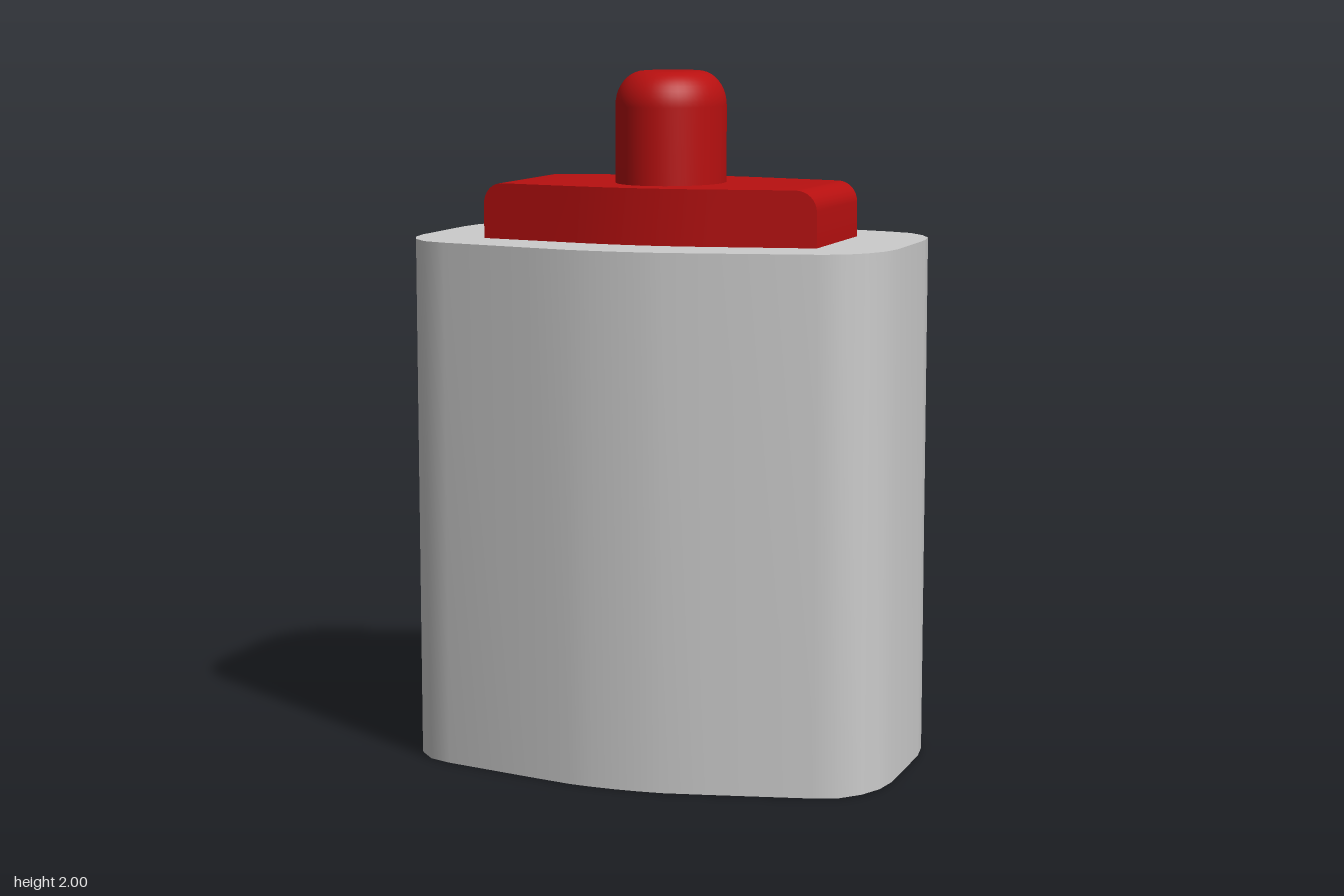
import * as THREE from 'three';
import { toCreasedNormals } from 'three/addons/utils/BufferGeometryUtils.js';

const BODY_TOP = 1.52, PLATE_TOP = 1.68, TOP = 2;

export function createModel() {
  const group = new THREE.Group();
  const grey = new THREE.MeshStandardMaterial({ color: 0xcccccc });
  const red = new THREE.MeshStandardMaterial({ color: 0xb81010 });
  const add = (name, geometry, material) => {
    const mesh = new THREE.Mesh(geometry, material);
    mesh.name = name;
    group.add(mesh);
  };

  // Body: bowed rounded outline [x, z], mirrored left to right, extruded upward
  const right = [
    [0, -0.493], [0.07, -0.491], [0.14, -0.483], [0.27, -0.455], [0.55, -0.385],
    [0.62, -0.357], [0.672, -0.295], [0.705, -0.225], [0.718, -0.135],
    [0.718, 0.16], [0.705, 0.24], [0.672, 0.31], [0.62, 0.367], [0.55, 0.393],
    [0.27, 0.455], [0.14, 0.482], [0.07, 0.488], [0, 0.49],
  ];
  const left = right.slice(1, -1).reverse().map(([x, z]) => [-x, z]);
  const outline = new THREE.Shape([...right, ...left].map(([x, z]) => new THREE.Vector2(x, z)));
  const body = new THREE.ExtrudeGeometry(outline, { depth: BODY_TOP, bevelEnabled: false });
  body.rotateX(Math.PI / 2).translate(0, BODY_TOP, 0);
  add('body', toCreasedNormals(body, 0.75), grey);

  // Plate: a box sliced along x, with bowed long sides and rounded top ends
  const half = 0.5, round = 0.06;
  const stations = [0, 0.05, 0.1, 0.15, 0.2, 0.32];
  for (let i = 0; i <= 8; i++) stations.push(half - round + round * Math.sin(i * Math.PI / 16));
  const n = stations.length - 1;
  const bow = (x, end) => {
    const a = Math.abs(x), bend = 0.2, peak = 0.289;
    const slope = (peak - end) / (half - bend / 2);
    return peak - slope * (a < bend ? a * a / (2 * bend) : a - bend / 2);
  };
  const plate = new THREE.BoxGeometry(2, 1, 1, 2 * n, 1, 1);
  const p = plate.attributes.position;
  for (let i = 0; i < p.count; i++) {
    const k = Math.round(p.getX(i) * n);
    const x = Math.sign(k) * stations[Math.abs(k)];
    const over = Math.max(0, Math.abs(x) - (half - round));
    const top = PLATE_TOP - round + Math.sqrt(Math.max(0, round * round - over * over));
    const z = p.getZ(i) > 0 ? bow(x, 0.215) : -bow(x, 0.195);
    p.setXYZ(i, x, p.getY(i) > 0 ? top : BODY_TOP, z);
  }
  add('plate', toCreasedNormals(plate, 0.6), red);

  // Button: oval post with a rounded crown
  const r = 0.157, inner = 0.077, drop = 0.1;
  const profile = [new THREE.Vector2(r, PLATE_TOP - 0.01)];
  for (let i = 0; i <= 10; i++) {
    const a = i * Math.PI / 20;
    profile.push(new THREE.Vector2(inner + (r - inner) * Math.cos(a), TOP - drop + drop * Math.sin(a)));
  }
  profile.push(new THREE.Vector2(0, TOP));
  const button = new THREE.LatheGeometry(profile, 48);
  button.scale(1, 1, 0.185 / r).translate(0, 0, 0.01);
  add('button', button, red);

  return group;
}
